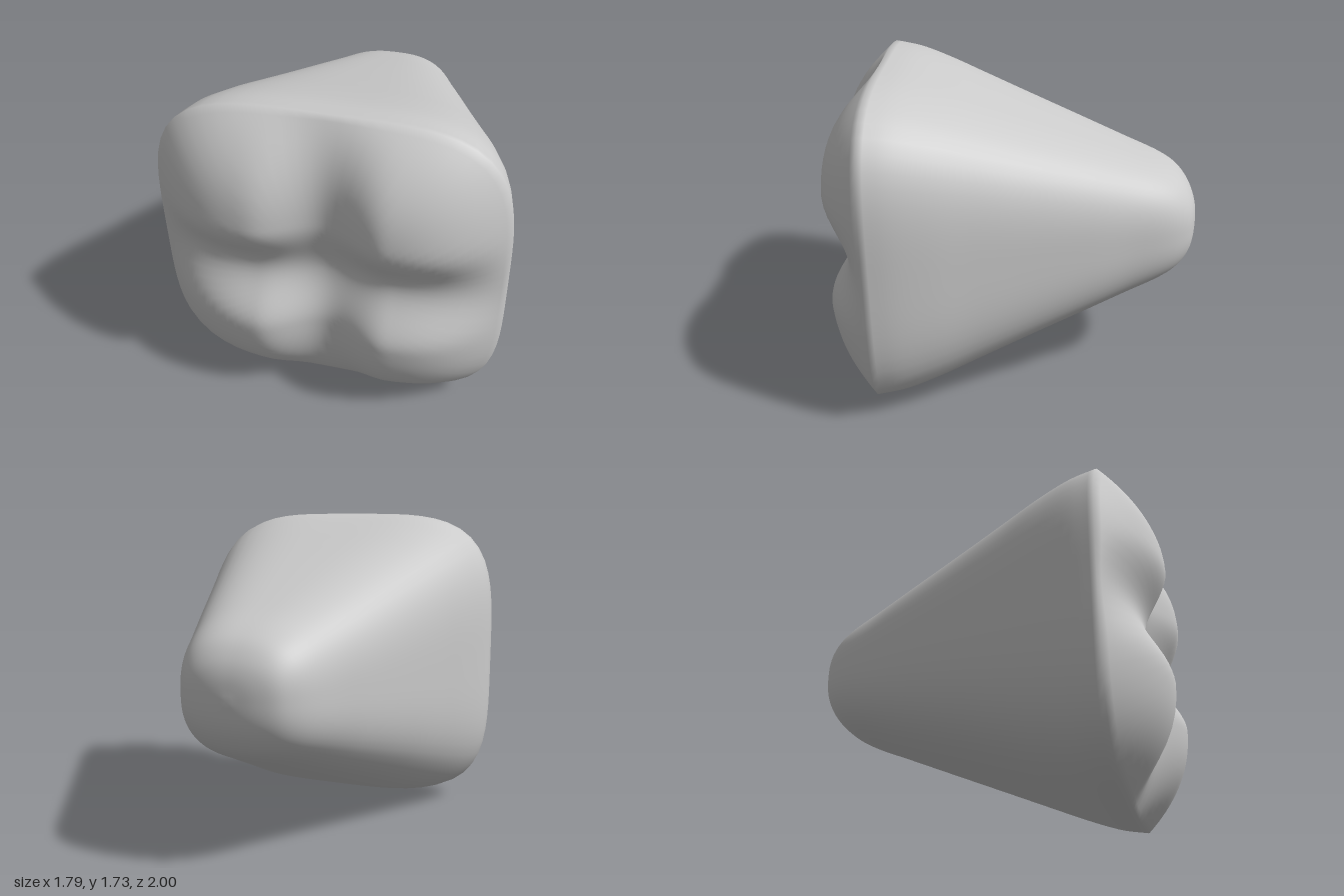
import * as THREE from 'three';
import { mergeVertices } from 'three/addons/utils/BufferGeometryUtils.js';

const CENTER_Y = 0.867, RIM_Z = 0.72, RIM_W = 0.895, RIM_H = 0.867;
const SEGMENTS = 80, BODY_RINGS = 48, FACE_RINGS = 32;

// Point on a unit rounded square; higher n gives squarer corners
function squircle(angle, n) {
  const c = Math.cos(angle), s = Math.sin(angle);
  const r = (Math.abs(c) ** n + Math.abs(s) ** n) ** (-1 / n);
  return [c * r, s * r];
}

// Soft valley around zero, 1 outside it
function groove(u) {
  const a = Math.min(Math.abs(u) / 0.38, 1);
  return 1 - 0.46 * (0.5 + 0.5 * Math.cos(Math.PI * a));
}

// Half width, half height and z from the blunt tip to the front rim
const taper = new THREE.CatmullRomCurve3([
  [0, 0, -1], [0.14, 0.12, -0.985], [0.24, 0.2, -0.95], [0.305, 0.27, -0.89],
  [0.36, 0.325, -0.8], [0.44, 0.405, -0.6], [0.52, 0.483, -0.4], [0.67, 0.637, 0],
  [0.745, 0.714, 0.2], [0.82, 0.789, 0.4], [0.873, 0.845, 0.58], [RIM_W, RIM_H, RIM_Z],
].map(p => new THREE.Vector3(...p)));

export function createModel() {
  const positions = [], index = [];

  // Tapering body, rounder at the tip
  for (let i = 0; i <= BODY_RINGS; i++) {
    const p = taper.getPoint(i / BODY_RINGS);
    const n = THREE.MathUtils.mapLinear(p.z, -1, RIM_Z, 2.5, 4);
    for (let j = 0; j < SEGMENTS; j++) {
      const [x, y] = squircle(j / SEGMENTS * Math.PI * 2, n);
      positions.push(x * p.x, CENTER_Y + y * p.y, p.z);
    }
  }

  // Domed front with four cushions parted by a cross of grooves
  for (let i = 1; i <= FACE_RINGS; i++) {
    const s = 1 - i / FACE_RINGS;
    const dome = 1 - Math.max(0, (s - 0.4) / 0.6) ** 2.2;
    for (let j = 0; j < SEGMENTS; j++) {
      const [x, y] = squircle(j / SEGMENTS * Math.PI * 2, 4);
      const u = x * s, v = y * s;
      positions.push(u * RIM_W, CENTER_Y + v * RIM_H, RIM_Z + 0.28 * dome * groove(u) * groove(v));
    }
  }

  // Join neighbouring rings
  for (let i = 0; i < BODY_RINGS + FACE_RINGS; i++) {
    for (let j = 0; j < SEGMENTS; j++) {
      const k = (j + 1) % SEGMENTS;
      const a = i * SEGMENTS + j, b = i * SEGMENTS + k;
      const c = a + SEGMENTS, d = b + SEGMENTS;
      index.push(a, b, c, b, d, c);
    }
  }

  let geometry = new THREE.BufferGeometry();
  geometry.setAttribute('position', new THREE.Float32BufferAttribute(positions, 3));
  geometry.setIndex(index);
  geometry = mergeVertices(geometry, 1e-5);
  geometry.computeVertexNormals();

  const body = new THREE.Mesh(geometry, new THREE.MeshStandardMaterial({ color: 0xcccccc }));
  body.name = 'taperedCushionBody';
  const group = new THREE.Group();
  group.name = 'taperedCushion';
  group.add(body);
  return group;
}
